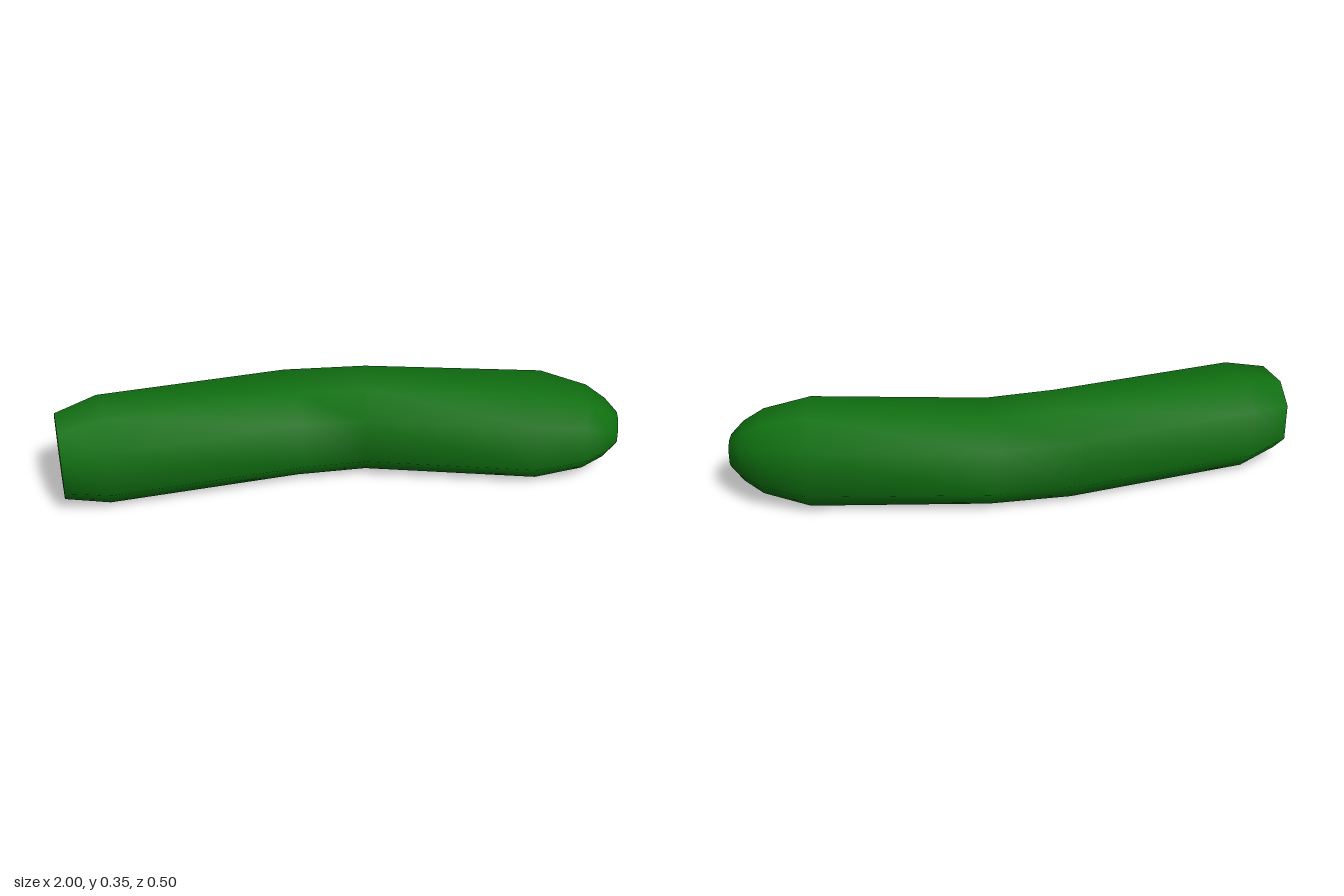
import * as THREE from 'three';

// Cross-sections from blunt cut end to rounded tip: back edge x, z and front edge x, z
const SECTIONS = [
  [-1.0, -0.13, -0.98, 0.14],
  [-0.855, -0.188, -0.82, 0.153],
  [-0.185, -0.253, -0.14, 0.088],
  [0.135, -0.237, 0.08, 0.093],
  [0.755, -0.09, 0.67, 0.245],
  [0.905, -0.01, 0.84, 0.25],
  [0.96, 0.045, 0.92, 0.23],
  [0.995, 0.1, 0.972, 0.2],
];
const MID_Y = 0.173;

// Chamfered-square octagon, as fractions of the half width
const OCTAGON = [[1, 0.5], [0.5, 1], [-0.5, 1], [-1, 0.5], [-1, -0.5], [-0.5, -1], [0.5, -1], [1, -0.5]];
const SIDES = OCTAGON.length;

function ring([bx, bz, fx, fz]) {
  const centre = new THREE.Vector3((bx + fx) / 2, MID_Y, (bz + fz) / 2);
  const across = new THREE.Vector3((fx - bx) / 2, 0, (fz - bz) / 2);
  const half = across.length();
  const points = OCTAGON.map(([u, v]) =>
    centre.clone().addScaledVector(across, u).add(new THREE.Vector3(0, v * half, 0)));
  return { centre, points };
}

function buildMesh(name, points, index, color) {
  const geometry = new THREE.BufferGeometry().setFromPoints(points);
  geometry.setIndex(index);
  geometry.computeVertexNormals();
  const mesh = new THREE.Mesh(geometry, new THREE.MeshStandardMaterial({ color }));
  mesh.name = name;
  return mesh;
}

export function createModel() {
  const group = new THREE.Group();
  group.name = 'cucumber';
  const rings = SECTIONS.map(ring);

  // Skin: rings joined with smooth normals, closed at the tip
  const points = rings.flatMap((r) => r.points);
  const index = [];
  for (let i = 0; i < rings.length - 1; i++) {
    for (let j = 0; j < SIDES; j++) {
      const a = i * SIDES + j;
      const b = i * SIDES + ((j + 1) % SIDES);
      index.push(a, a + SIDES, b, b, a + SIDES, b + SIDES);
    }
  }
  const last = (rings.length - 1) * SIDES;
  const tip = points.length;
  points.push(rings[rings.length - 1].centre);
  for (let j = 0; j < SIDES; j++) index.push(tip, last + ((j + 1) % SIDES), last + j);
  group.add(buildMesh('skin', points, index, 0x0f7010));

  // Pale flat face of the cut end
  const capIndex = [];
  for (let j = 0; j < SIDES; j++) capIndex.push(SIDES, j, (j + 1) % SIDES);
  group.add(buildMesh('cutEnd', [...rings[0].points, rings[0].centre], capIndex, 0x567f45));

  return group;
}
